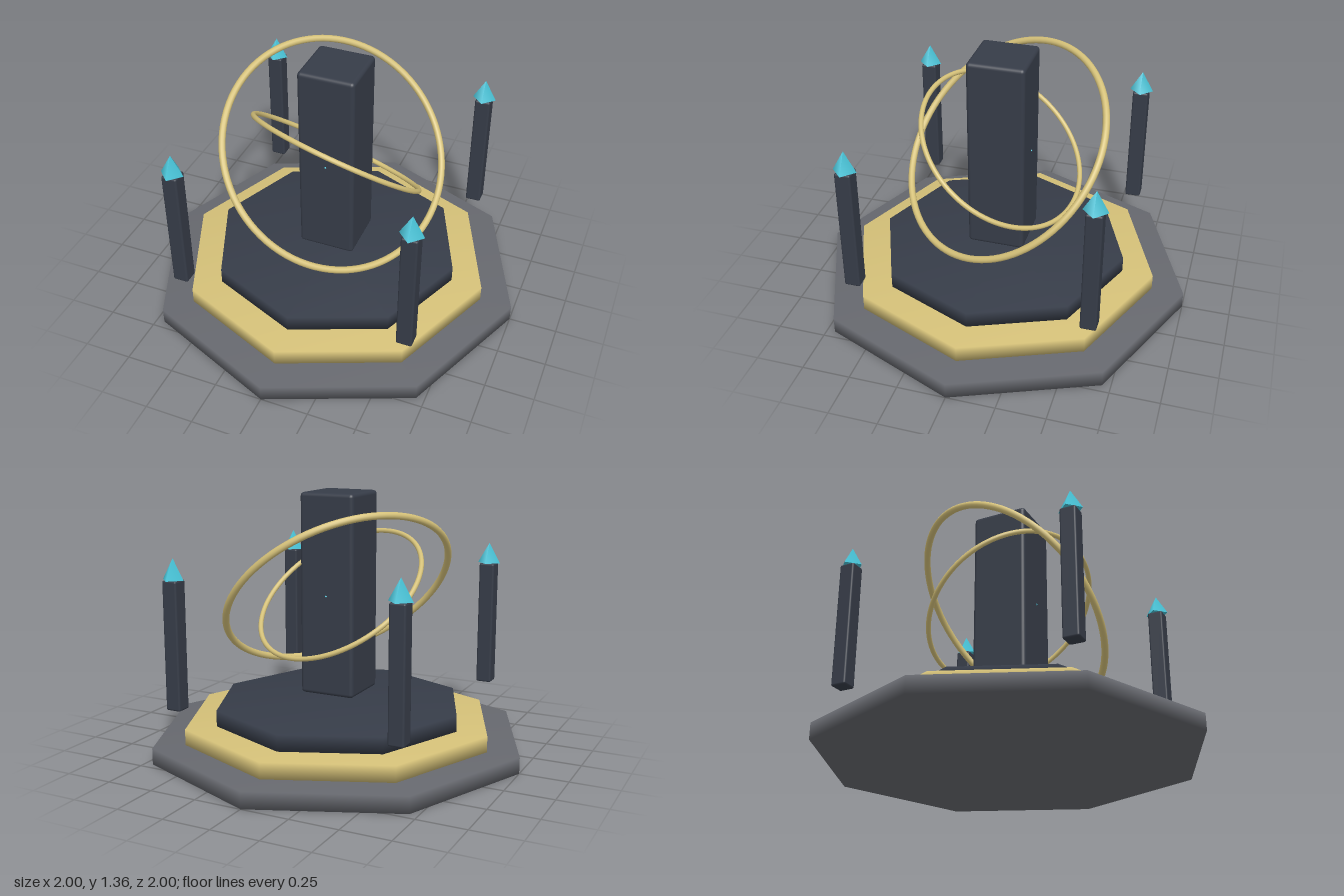
import * as THREE from 'three';
import { RoundedBoxGeometry } from 'three/addons/geometries/RoundedBoxGeometry.js';
import { mergeVertices } from 'three/addons/utils/BufferGeometryUtils.js';

const stone = new THREE.MeshStandardMaterial({ color: 0x66686e });
const slate = new THREE.MeshStandardMaterial({ color: 0x363c48 });
const gold = new THREE.MeshStandardMaterial({ color: 0xd4c078 });
const crystal = new THREE.MeshStandardMaterial({ color: 0x48c4d8 });

const CENTER_Y = 0.835;

function addMesh(parent, name, geometry, material, x = 0, y = 0, z = 0) {
  const mesh = new THREE.Mesh(geometry, material);
  mesh.name = name;
  mesh.position.set(x, y, z);
  parent.add(mesh);
  return mesh;
}

// Octagonal slab with normals blended softly over its rims
function slabGeometry(radius, height) {
  const geometry = new THREE.CylinderGeometry(radius, radius, height, 8);
  geometry.deleteAttribute('normal');
  geometry.deleteAttribute('uv');
  const merged = mergeVertices(geometry);
  merged.computeVertexNormals();
  return merged;
}

// Ring lying in the plane through the centre with the given normal
function addRing(parent, name, radius, tube, normal) {
  const ring = addMesh(parent, name, new THREE.TorusGeometry(radius, tube, 12, 96), gold, 0, CENTER_Y, 0);
  ring.quaternion.setFromUnitVectors(new THREE.Vector3(0, 0, 1), normal.normalize());
}

export function createModel() {
  const model = new THREE.Group();
  model.name = 'monolithShrine';

  // Three stepped octagonal tiers
  const tiers = [
    ['lowerTier', 1.0, 0, 0.085, stone],
    ['middleTier', 0.83, 0.085, 0.168, gold],
    ['upperTier', 0.665, 0.168, 0.252, slate],
  ];
  for (const [name, radius, bottom, top, material] of tiers) {
    addMesh(model, name, slabGeometry(radius, top - bottom), material, 0, (bottom + top) / 2, 0);
  }

  // Floating monolith; its core just breaks the front and back faces
  addMesh(model, 'monolith', new RoundedBoxGeometry(0.3, 1.05, 0.3, 3, 0.02), slate, 0, CENTER_Y, 0);
  const core = addMesh(model, 'core', new THREE.OctahedronGeometry(0.157), crystal, 0, CENTER_Y, 0);
  core.scale.set(0.9, 0.9, 1);

  // Two tilted rings
  addRing(model, 'outerRing', 0.611, 0.018, new THREE.Vector3(0.58, 0.695, 0.427));
  addRing(model, 'innerRing', 0.469, 0.013, new THREE.Vector3(0.22, 0.79, -0.57));

  // Four floating pillars with crystal tips
  const pillarGeometry = new RoundedBoxGeometry(0.083, 0.665, 0.083, 2, 0.01);
  const tipGeometry = new THREE.ConeGeometry(0.062, 0.108, 4);
  for (const x of [-0.61, 0.61]) {
    for (const z of [-0.61, 0.61]) {
      const group = new THREE.Group();
      group.name = `${z > 0 ? 'front' : 'back'}${x > 0 ? 'Left' : 'Right'}Pillar`;
      group.position.set(x, 0, z);
      addMesh(group, 'shaft', pillarGeometry, slate, 0, 0.613, 0);
      addMesh(group, 'crystalTip', tipGeometry, crystal, 0, 1.0, 0);
      model.add(group);
    }
  }
  return model;
}
